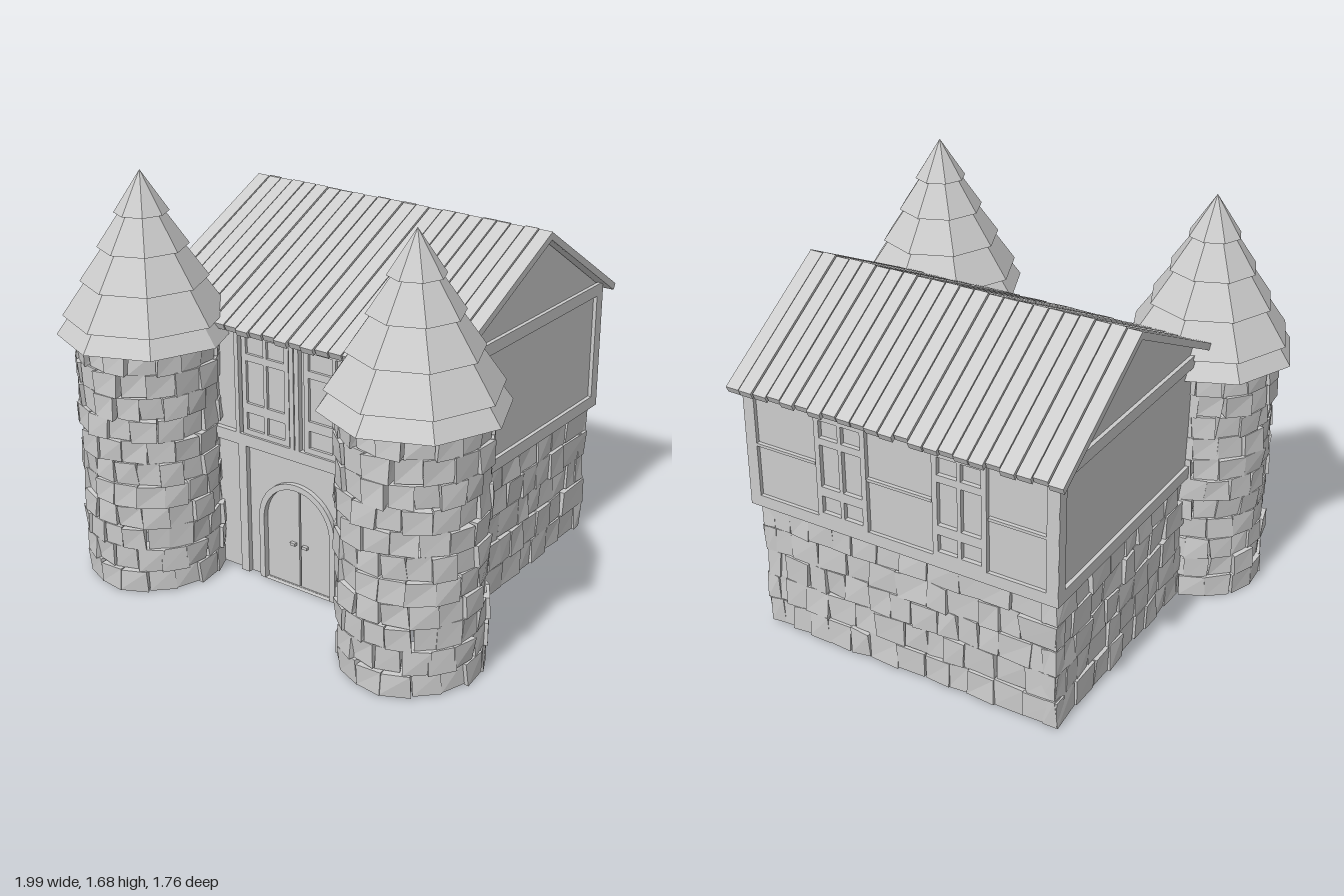
import * as THREE from 'three';
import { mergeGeometries } from 'three/addons/utils/BufferGeometryUtils.js';

const mat = new THREE.MeshStandardMaterial({ color: 0xcccccc, flatShading: true, side: THREE.DoubleSide });

// small seeded generator for the uneven masonry
let seed = 7;
const rnd = () => (seed = (seed * 16807) % 2147483647) / 2147483647;
const vary = (a) => (rnd() * 2 - 1) * a;

function add(parent, name, geometry, x = 0, y = 0, z = 0) {
  const mesh = new THREE.Mesh(geometry, mat);
  mesh.name = name;
  mesh.position.set(x, y, z);
  parent.add(mesh);
  return mesh;
}

// rough block: every corner is nudged, the back (-z) end may taper
function stone(w, h, d, taper = 1, jitter = 0.006) {
  const g = new THREE.BoxGeometry(w, h, d);
  const nudge = Array.from({ length: 8 }, () => [vary(jitter), vary(jitter * 0.7), vary(jitter)]);
  const p = g.attributes.position;
  for (let i = 0; i < p.count; i++) {
    const [x, y, z] = [p.getX(i), p.getY(i), p.getZ(i)];
    const n = nudge[(x > 0 ? 1 : 0) + (y > 0 ? 2 : 0) + (z > 0 ? 4 : 0)];
    p.setXYZ(i, x * (z < 0 ? taper : 1) + n[0], y + n[1], z + n[2]);
  }
  return g;
}

// ring courses of wedge stones
function towerStones() {
  const list = [], rows = 11, y0 = 0.01, h = 1.03 / rows;
  for (let r = 0; r < rows; r++) {
    const count = 16 + (r % 3);
    const start = rnd() * Math.PI;
    for (let i = 0; i < count; i++) {
      const outer = 0.276 + vary(0.012), inner = 0.205;
      const width = 2 * outer * Math.tan(Math.PI / count) * (0.98 + vary(0.05));
      const g = stone(width, h * 0.99, outer - inner, inner / outer, 0.007);
      g.translate(0, y0 + (r + 0.5) * h, (outer + inner) / 2);
      g.rotateY(start + ((i + vary(0.06)) / count) * Math.PI * 2);
      list.push(g);
    }
  }
  return mergeGeometries(list);
}

// flat wall of irregular stones, outer face on z = 0, facing +z
function wallStones(length) {
  const list = [], rows = 5, h = 0.57 / rows;
  for (let r = 0; r < rows; r++) {
    let x = -length / 2;
    while (x < length / 2 - 0.01) {
      let w = 0.08 + rnd() * 0.07;
      if (length / 2 - x - w < 0.06) w = length / 2 - x;
      const g = stone(w * 0.985, h * 0.985, 0.06, 1, 0.007);
      g.translate(x + w / 2, 0.015 + (r + 0.5) * h, -0.03 + vary(0.008));
      list.push(g);
      x += w;
    }
  }
  return mergeGeometries(list);
}

// boards given as [x0, y0, x1, y1], standing out from z = 0
function boards(rects, depth) {
  return mergeGeometries(rects.map(([x0, y0, x1, y1]) =>
    new THREE.BoxGeometry(x1 - x0, y1 - y0, depth).translate((x0 + x1) / 2, (y0 + y1) / 2, depth / 2)));
}

// rectangular surround
const surround = (x0, y0, x1, y1, t) => [
  [x0, y0, x1, y0 + t], [x0, y1 - t, x1, y1], [x0, y0 + t, x0 + t, y1 - t], [x1 - t, y0 + t, x1, y1 - t]];

// tall window: outer frame, two rails and a mullion
const windowBars = (x0, x1) => [
  ...surround(x0, 0.63, x1, 1.07, 0.022),
  [x0, 0.725, x1, 0.765], [x0, 0.945, x1, 0.975],
  [(x0 + x1) / 2 - 0.008, 0.63, (x0 + x1) / 2 + 0.008, 1.07]];

// arch-topped outline
function archPath(Kind, cx, half, spring, y0) {
  const s = new Kind();
  s.moveTo(cx - half, y0);
  s.lineTo(cx + half, y0);
  s.lineTo(cx + half, spring);
  s.absarc(cx, spring, half, 0, Math.PI, false);
  s.lineTo(cx - half, y0);
  return s;
}
const extrude = (shape, depth) => new THREE.ExtrudeGeometry(shape, { depth, bevelEnabled: false, curveSegments: 10 });

function createTower(x, stones) {
  const tower = new THREE.Group();
  tower.name = 'tower';
  tower.position.set(x, 0, 0.52);
  add(tower, 'towerStones', stones);
  // [bottom y, bottom radius, top y, top radius]
  const tiers = [[1.035, 0.355, 1.12, 0.295], [1.112, 0.328, 1.26, 0.225], [1.25, 0.253, 1.39, 0.155],
    [1.385, 0.18, 1.525, 0.085], [1.52, 0.108, 1.685, 0]];
  for (const [y0, r0, y1, r1] of tiers)
    add(tower, 'roofTier', new THREE.CylinderGeometry(r1, r0, y1 - y0, 8), 0, (y0 + y1) / 2, 0);
  return tower;
}

function createFrontWall() {
  const front = new THREE.Group();
  front.name = 'frontWall';
  const cx = -0.012, spring = 0.285;
  // lower wall with the doorway cut through
  const wall = new THREE.Shape([[-0.45, 0.01], [0.45, 0.01], [0.45, 0.6], [-0.45, 0.6]].map((p) => new THREE.Vector2(...p)));
  wall.holes.push(archPath(THREE.Path, cx, 0.17, spring, 0.011));
  add(front, 'doorwayWall', extrude(wall, 0.035), 0, 0, 0.33);
  const trim = archPath(THREE.Shape, cx, 0.19, spring, 0.01);
  trim.holes.push(archPath(THREE.Path, cx, 0.165, spring, 0.0101));
  add(front, 'doorFrame', extrude(trim, 0.065), 0, 0, 0.32);
  for (const s of [-1, 1]) {
    const leaf = new THREE.Shape();
    leaf.moveTo(0.004, 0.012);
    leaf.lineTo(0.166, 0.012);
    leaf.lineTo(0.166, spring);
    leaf.absarc(0, spring, 0.166, 0, Math.PI / 2 - 0.024, false);
    const g = extrude(leaf, 0.02);
    if (s < 0) g.rotateY(Math.PI).translate(0, 0, 0.02);
    add(front, 'doorLeaf', g, cx, 0, 0.34);
    add(front, 'doorHandle', new THREE.BoxGeometry(0.025, 0.012, 0.015), cx + s * 0.03, 0.2, 0.367);
  }
  add(front, 'frontPosts', boards([
    [-0.3, 0.01, -0.26, 0.58], [0.235, 0.01, 0.275, 0.58],
    [-0.42, 0.58, 0.42, 0.63], [-0.42, 1.07, 0.42, 1.095],
    [-0.035, 0.63, -0.014, 1.08], [-0.01, 0.63, 0.011, 1.08],
    [-0.31, 0.63, -0.29, 1.08], [0.33, 0.63, 0.35, 1.08]], 0.022), 0, 0, 0.365);
  add(front, 'frontWindows', boards([...windowBars(-0.28, -0.045), ...windowBars(0.03, 0.32)], 0.012), 0, 0, 0.365);
  return front;
}

function createUpperStorey() {
  const upper = new THREE.Group();
  upper.name = 'upperStorey';
  // gabled body, profile runs along z and is swept along x
  const profile = new THREE.Shape([[0.8, 0.59], [0.8, 1.12], [0.32, 1.435], [-0.365, 1.1], [-0.365, 0.59]].map((p) => new THREE.Vector2(...p)));
  add(upper, 'gabledBody', extrude(profile, 1.345).rotateY(Math.PI / 2), -0.695, 0, 0);
  // timber frame on each gable end
  for (const s of [-1, 1]) {
    const end = add(upper, 'gableFrame', boards([
      [-0.6, 0.58, 0.6, 0.632], [-0.6, 1.08, 0.6, 1.13],
      [-0.6, 0.63, -0.552, 1.08], [0.552, 0.63, 0.6, 1.08]], 0.016), s > 0 ? 0.65 : -0.695, 0, -0.215);
    end.rotation.y = s * Math.PI / 2;
  }
  // timber frame and windows at the back
  const half = 0.6875, cx = -0.0225;
  const back = add(upper, 'backFrame', boards([
    ...surround(-half, 0.58, half, 1.12, 0.05),
    [-half, 0.85, -0.36, 0.862], [-0.13, 0.85, 0.16, 0.862], [0.4, 0.85, half, 0.862]], 0.016), cx, 0, -0.8);
  const windows = add(upper, 'backWindows', boards([...windowBars(-0.355, -0.125), ...windowBars(0.165, 0.395)], 0.02), cx, 0, -0.799);
  back.rotation.y = windows.rotation.y = Math.PI;
  return upper;
}

// separate roof boards on both slopes, meeting at the ridge
function createRoof() {
  const roof = new THREE.Group();
  roof.name = 'plankRoof';
  const count = 23, x0 = -0.755, pitch = 1.45 / count, ridgeZ = -0.325, ridgeY = 1.47, t = 0.032;
  for (const [name, run, drop] of [['frontPlanks', 0.765, 0.372], ['backPlanks', -0.55, 0.355]]) {
    const list = [];
    for (let i = 0; i < count; i++) {
      const k = 1 + vary(0.012), z1 = ridgeZ + run * k, y1 = ridgeY - drop * k;
      const lift = vary(0.003);
      const s = new THREE.Shape([[-ridgeZ, ridgeY], [-z1, y1], [-z1 + Math.sign(run) * 0.012, y1 - t * 0.8], [-ridgeZ, ridgeY - t]]
        .map(([u, v]) => new THREE.Vector2(u, v + lift)));
      list.push(extrude(s, pitch - 0.005).rotateY(Math.PI / 2).translate(x0 + i * pitch, 0, 0));
    }
    add(roof, name, mergeGeometries(list));
  }
  // thin sheet closing the gaps between boards
  const sheet = new THREE.Shape([[0.32, 1.45], [-0.42, 1.09], [-0.42, 1.085], [0.32, 1.438], [0.85, 1.096], [0.85, 1.101]]
    .map((p) => new THREE.Vector2(...p)));
  add(roof, 'roofSheet', extrude(sheet, 1.43).rotateY(Math.PI / 2), x0 + 0.01, 0, 0);
  return roof;
}

export function createModel() {
  const model = new THREE.Group();
  model.name = 'gatehouse';
  const stones = towerStones();
  for (const x of [-0.64, 0.64]) model.add(createTower(x, stones));
  // ground floor masonry, open underneath
  add(model, 'backStoneWall', wallStones(1.33), -0.0235, 0, -0.78).rotation.y = Math.PI;
  add(model, 'leftStoneWall', wallStones(1.1), 0.643, 0, -0.23).rotation.y = Math.PI / 2;
  add(model, 'rightStoneWall', wallStones(1.1), -0.69, 0, -0.23).rotation.y = -Math.PI / 2;
  model.add(createFrontWall(), createUpperStorey(), createRoof());
  return model;
}
